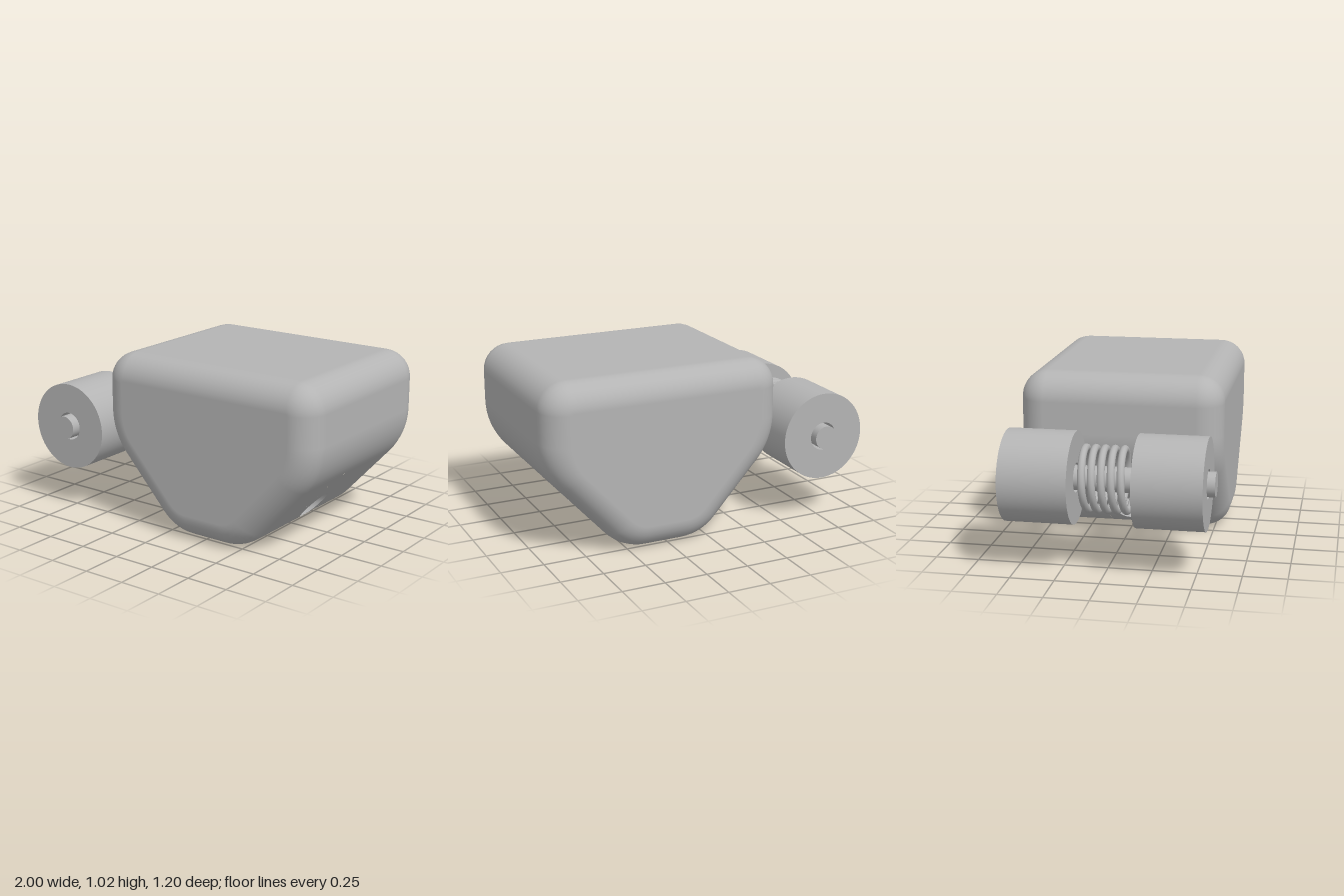
import * as THREE from 'three';
import { toCreasedNormals } from 'three/addons/utils/BufferGeometryUtils.js';

const CX = 0.2775, W = 0.7175, DEPTH = 0.59, BEVEL = 0.15, SEG = 8;
const HOLE_Y = 0.147, HOLE_R = 0.085, WINDOW_Z = 0.13;
const SLOPE = -Math.atan2(0.4725, 0.52); // angle of the slanted side's normal

// Rounded corners of the right half of the body's cross-section, bottom to top
const ARCS = [
  { x: 0.115, y: 0.294, r: 0.294, from: -Math.PI / 2, to: SLOPE },
  { x: W - 0.4136, y: 0.68, r: 0.4136, from: SLOPE, to: 0 },
  { x: W - 0.16, y: 0.86, r: 0.16, from: 0, to: Math.PI / 2 },
];

// Full counter-clockwise outline: arc centre, radius and normal of every point
function outline() {
  const half = [];
  for (const a of ARCS) {
    for (let i = 0; i <= SEG; i++) {
      const t = a.from + (a.to - a.from) * i / SEG;
      half.push({ x: a.x, y: a.y, r: a.r, nx: Math.cos(t), ny: Math.sin(t) });
    }
  }
  const mirrored = half.map(p => ({ ...p, x: -p.x, nx: -p.nx })).reverse();
  return half.concat(mirrored);
}

// Point and normal on the lower flank at height y; side is 1 or -1
function flank(y, z, side) {
  const a = ARCS[0];
  const t = Math.min(Math.asin((y - a.y) / a.r), SLOPE);
  const foot = a.y + a.r * Math.sin(t);
  const x = a.x + a.r * Math.cos(t) - (y - foot) * Math.tan(SLOPE) * (0.52 / 0.4725) ** 2 * (0.4725 / 0.52) ** 2;
  return [CX + side * x, y, z, side * Math.cos(t), Math.sin(t), 0];
}

function bodyGeometry() {
  const pos = [], nor = [], idx = [];
  const add = v => {
    pos.push(v[0], v[1], v[2]);
    nor.push(v[3], v[4], v[5]);
    return pos.length / 3 - 1;
  };
  const quad = (a, b, c, d, flip) => flip ? idx.push(a, c, b, b, c, d) : idx.push(a, b, c, c, b, d);
  const loop = outline(), n = loop.length;

  // Rows from front to back, inset around the bevelled ends
  const rows = [];
  for (let k = 0; k <= SEG; k++) {
    const a = Math.PI / 2 * (1 - k / SEG);
    rows.push({ z: DEPTH - BEVEL + BEVEL * Math.sin(a), d: BEVEL * (1 - Math.cos(a)), c: Math.cos(a), s: Math.sin(a) });
  }
  rows.push({ z: WINDOW_Z, d: 0, c: 1, s: 0 });
  rows.push(...rows.map(r => ({ ...r, z: -r.z, s: -r.s })).reverse());
  const point = (p, r) => [CX + p.x + (p.r - r.d) * p.nx, p.y + (p.r - r.d) * p.ny, r.z, p.nx * r.c, p.ny * r.c, r.s];
  const grid = rows.map(r => loop.map(p => add(point(p, r))));
  const lo = 5, hi = 9; // outline points bounding the window around the hole
  for (let r = 0; r < rows.length - 1; r++) {
    for (let i = 0; i < n; i++) {
      const inWindow = (i >= lo && i < hi) || (i >= n - 1 - hi && i < n - 1 - lo);
      if (r === SEG + 1 && inWindow) continue;
      const j = (i + 1) % n;
      quad(grid[r][i], grid[r + 1][i], grid[r][j], grid[r + 1][j]);
    }
  }

  // Flat front and back
  for (const s of [1, -1]) {
    const centre = add([CX, 0.55, s * DEPTH, 0, 0, s]);
    const rim = loop.map(p => {
      const v = point(p, rows[0]);
      return add([v[0], v[1], s * DEPTH, 0, 0, s]);
    });
    for (let i = 0; i < n; i++) {
      const j = (i + 1) % n;
      if (s > 0) idx.push(centre, rim[i], rim[j]);
      else idx.push(centre, rim[j], rim[i]);
    }
  }

  // Flank patches running from the round hole to the window edge
  const yOf = i => loop[i].y + loop[i].r * loop[i].ny;
  const y0 = yOf(lo), y1 = yOf(hi), N = 8, STEPS = 5;
  const corners = [[y0, -WINDOW_Z], [y1, -WINDOW_Z], [y1, WINDOW_Z], [y0, WINDOW_Z]];
  const border = [], circle = [];
  for (let c = 0; c < 4; c++) {
    for (let k = 0; k < N; k++) {
      const a = corners[c], b = corners[(c + 1) % 4], t = k / N;
      const y = a[0] + (b[0] - a[0]) * t, z = a[1] + (b[1] - a[1]) * t;
      const len = Math.hypot(y - HOLE_Y, z);
      border.push([y, z]);
      circle.push([HOLE_Y + (y - HOLE_Y) / len * HOLE_R, z / len * HOLE_R]);
    }
  }
  const m = border.length;
  for (const side of [1, -1]) {
    const patch = [];
    for (let k = 0; k <= STEPS; k++) {
      const t = k / STEPS;
      patch.push(circle.map((c, j) => add(flank(
        c[0] + (border[j][0] - c[0]) * t, c[1] + (border[j][1] - c[1]) * t, side))));
    }
    for (let k = 0; k < STEPS; k++) {
      for (let j = 0; j < m; j++) {
        const q = (j + 1) % m;
        quad(patch[k][j], patch[k + 1][j], patch[k][q], patch[k + 1][q], side < 0);
      }
    }
  }

  // Tunnel wall joining both holes
  const wall = [1, -1].map(side => circle.map(([y, z]) => {
    const v = flank(y, z, side);
    return add([v[0], y, z, 0, (HOLE_Y - y) / HOLE_R, -z / HOLE_R]);
  }));
  for (let j = 0; j < m; j++) {
    const q = (j + 1) % m;
    quad(wall[0][j], wall[0][q], wall[1][j], wall[1][q]);
  }

  const g = new THREE.BufferGeometry();
  g.setAttribute('position', new THREE.Float32BufferAttribute(pos, 3));
  g.setAttribute('normal', new THREE.Float32BufferAttribute(nor, 3));
  g.setIndex(idx);
  return g;
}

// Coil spring centreline around the z axis
class Coil extends THREE.Curve {
  getPoint(t, out = new THREE.Vector3()) {
    const a = t * Math.PI * 2 * 5;
    return out.set(0.17 * Math.cos(a), 0.17 * Math.sin(a), -0.14 + 0.27 * t);
  }
}

export function createModel() {
  const model = new THREE.Group();
  const grey = new THREE.MeshStandardMaterial({ color: 0xb4b4b4 });
  grey.name = 'plain grey';
  const mesh = (name, geometry, parent) => {
    const m = new THREE.Mesh(geometry, grey);
    m.name = name;
    parent.add(m);
    return m;
  };

  mesh('body', bodyGeometry(), model);

  const rollers = new THREE.Group();
  rollers.name = 'rollerAssembly';
  rollers.position.set(-0.74, 0.513, 0);
  model.add(rollers);

  // Axle through both rollers
  mesh('axle', new THREE.CylinderGeometry(0.07, 0.07, 1.196, 48).rotateX(Math.PI / 2), rollers);

  // Bored rollers
  const ring = new THREE.Shape().absarc(0, 0, 0.26, 0, Math.PI * 2);
  ring.holes.push(new THREE.Path().absarc(0, 0, 0.083, 0, Math.PI * 2, true));
  const rollerGeometry = toCreasedNormals(
    new THREE.ExtrudeGeometry(ring, { depth: 0.385, bevelEnabled: false, curveSegments: 40 }), 0.6);
  mesh('frontRoller', rollerGeometry, rollers).position.z = 0.17;
  mesh('backRoller', rollerGeometry, rollers).position.z = -0.563;

  // Spring between the rollers, with capped wire ends
  const coil = new Coil();
  mesh('spring', new THREE.TubeGeometry(coil, 240, 0.021, 12), rollers);
  for (const t of [0, 1]) {
    const cap = mesh('springEnd', new THREE.CircleGeometry(0.021, 12), rollers);
    const dir = coil.getTangent(t).multiplyScalar(t ? 1 : -1);
    cap.position.copy(coil.getPoint(t));
    cap.quaternion.setFromUnitVectors(new THREE.Vector3(0, 0, 1), dir);
  }
  return model;
}
